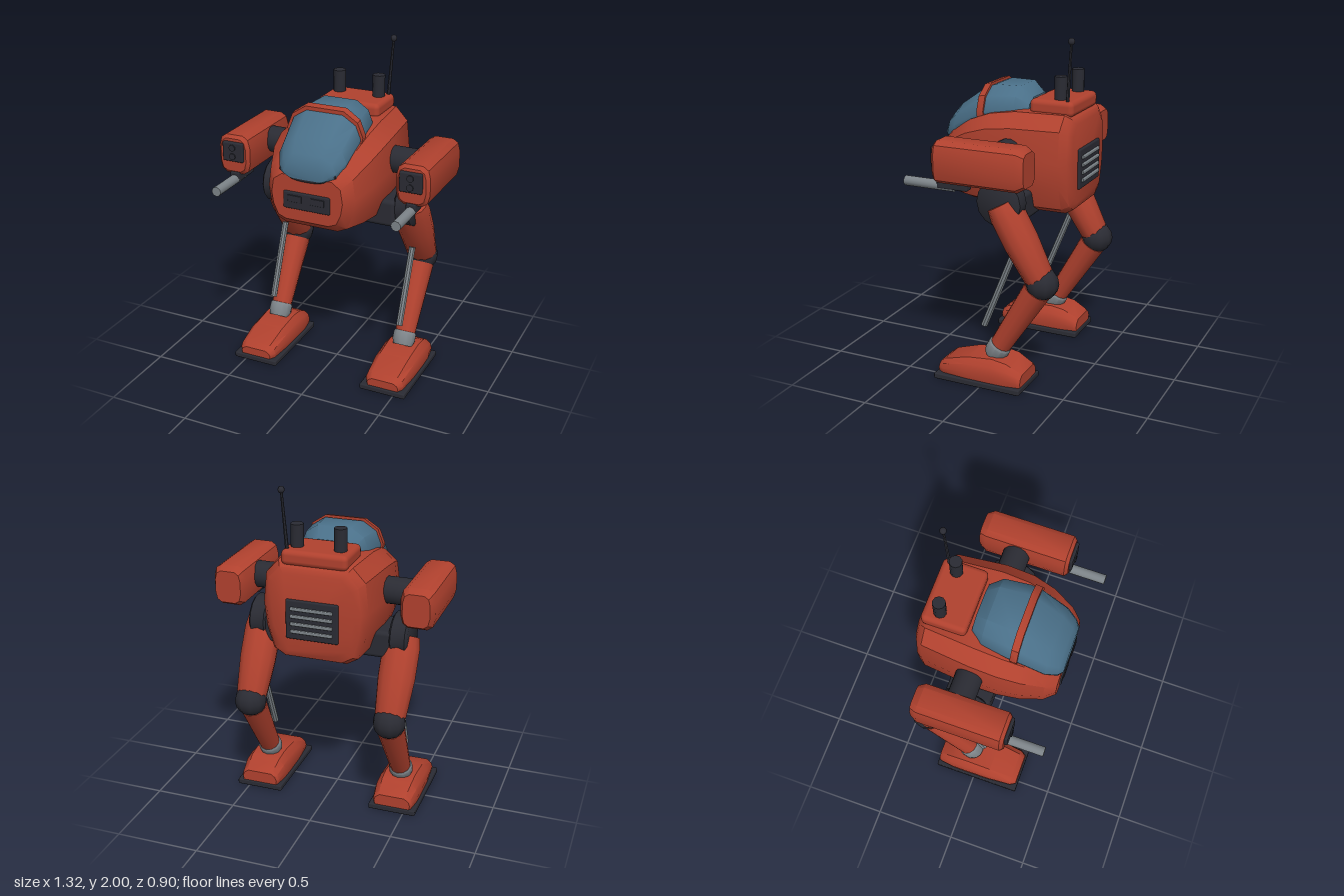
import * as THREE from 'three';
import { toCreasedNormals } from 'three/addons/utils/BufferGeometryUtils.js';
import { RoundedBoxGeometry } from 'three/addons/geometries/RoundedBoxGeometry.js';

const paint = (name, color) => {
  const m = new THREE.MeshStandardMaterial({ color });
  m.name = name;
  return m;
};
const V = (x, y, z) => new THREE.Vector3(x, y, z);

// Skins mirrored half-profiles [u, v] through sections [z, halfWidth, yBottom, yTop], front to back
function loft(profile, sections, crease = 0.6) {
  const ring = [...profile, ...profile.map(([u, v]) => [-u, v]).reverse()];
  const n = ring.length, pos = [], idx = [];
  for (const [z, w, y0, y1] of sections)
    for (const [u, v] of ring) pos.push(u * w, y0 + v * (y1 - y0), z);
  for (let i = 0; i < sections.length - 1; i++)
    for (let j = 0; j < n; j++) {
      const a = i * n + j, b = i * n + (j + 1) % n;
      idx.push(a, a + n, b, b, a + n, b + n);
    }
  const last = (sections.length - 1) * n;
  for (let j = 1; j < n - 1; j++) idx.push(0, j, j + 1, last, last + j + 1, last + j);
  const g = new THREE.BufferGeometry();
  g.setAttribute('position', new THREE.Float32BufferAttribute(pos, 3));
  g.setIndex(idx);
  return toCreasedNormals(g, crease);
}

export function createModel() {
  const armor = paint('rust red armor', 0xb0412e);
  const dark = paint('dark joints', 0x2a2b33);
  const glass = paint('blue canopy', 0x4a7089);
  const steel = paint('grey steel', 0x7c8388);

  const root = new THREE.Group();
  root.name = 'walker';
  const add = (parent, name, geo, mat, x = 0, y = 0, z = 0) => {
    const m = new THREE.Mesh(geo, mat);
    m.name = name;
    m.position.set(x, y, z);
    parent.add(m);
    return m;
  };
  const rbox = (w, h, d, r = 0.01) => new RoundedBoxGeometry(w, h, d, 2, r);
  const rodX = (r, len, seg) => new THREE.CylinderGeometry(r, r, len, seg).rotateZ(Math.PI / 2);
  const rodZ = (r, len, seg) => new THREE.CylinderGeometry(r, r, len, seg).rotateX(Math.PI / 2);

  // Turned limb from a to b; profile holds [radius, fraction along the limb]
  const limb = (parent, name, a, b, profile, mat, seg = 12) => {
    const len = a.distanceTo(b);
    const pts = [[0, profile[0][1]], ...profile, [0, profile.at(-1)[1]]]
      .map(([r, t]) => new THREE.Vector2(r, t * len));
    const m = add(parent, name, toCreasedNormals(new THREE.LatheGeometry(pts, seg), 0.7), mat, a.x, a.y, a.z);
    m.quaternion.setFromUnitVectors(V(0, 1, 0), b.clone().sub(a).normalize());
    return m;
  };

  // Hull
  const hullShape = [[0.6, 0], [0.82, 0.07], [0.95, 0.3], [1, 0.55], [0.94, 0.86], [0.7, 1]];
  add(root, 'hull', loft(hullShape, [
    [0.4, 0.22, 1.09, 1.36], [0.34, 0.27, 1.04, 1.42], [0.21, 0.32, 1.025, 1.5], [0.08, 0.342, 1.015, 1.55],
    [-0.08, 0.342, 1.005, 1.575], [-0.37, 0.31, 1.0, 1.575], [-0.41, 0.28, 1.02, 1.55], [-0.428, 0.24, 1.06, 1.52],
  ]), armor);

  // Canopy, its hoop and lower rim
  const canopyShape = [[0.68, 0], [0.95, 0.2], [1, 0.42], [0.86, 0.77], [0.5, 1]];
  add(root, 'canopy', loft(canopyShape, [
    [0.412, 0.14, 1.35, 1.445], [0.385, 0.175, 1.345, 1.49], [0.32, 0.208, 1.37, 1.56], [0.16, 0.224, 1.45, 1.672],
    [0.1, 0.224, 1.46, 1.692], [-0.05, 0.203, 1.48, 1.692], [-0.122, 0.155, 1.5, 1.63],
  ], 0.75), glass);
  add(root, 'canopyHoop', loft(canopyShape, [
    [0.166, 0.236, 1.45, 1.69], [0.125, 0.236, 1.45, 1.7],
  ]), armor);
  const rim = new THREE.CatmullRomCurve3([
    V(-0.17, 1.39, 0.375), V(-0.09, 1.355, 0.395), V(0, 1.347, 0.398), V(0.09, 1.355, 0.395), V(0.17, 1.39, 0.375)]);
  add(root, 'canopyRim', new THREE.TubeGeometry(rim, 16, 0.015, 6), dark);

  // Nose sensor plate
  add(root, 'nosePlate', rbox(0.29, 0.105, 0.03), dark, 0, 1.212, 0.395);
  for (const s of [-1, 1]) add(root, 'noseSlot', rbox(0.085, 0.04, 0.008, 0.003), dark, s * 0.07, 1.225, 0.411);

  // Rear vent with slats
  add(root, 'ventFrame', rbox(0.31, 0.235, 0.03), dark, 0, 1.255, -0.427);
  for (let i = 0; i < 4; i++)
    add(root, 'ventSlat', rbox(0.25, 0.02, 0.02, 0.005), steel, 0, 1.187 + i * 0.045, -0.443);

  // Roof deck, exhausts and antenna
  add(root, 'roofDeck', rbox(0.39, 0.09, 0.265, 0.03), armor, 0, 1.6, -0.275);
  for (const s of [-1, 1])
    add(root, 'exhaust', toCreasedNormals(new THREE.CylinderGeometry(0.037, 0.037, 0.17, 10), 0.7), dark, s * 0.127, 1.69, -0.31);
  limb(root, 'antenna', V(0.165, 1.62, -0.365), V(0.183, 1.98, -0.392), [[0.011, 0], [0.007, 1]], dark, 6);
  add(root, 'antennaTip', new THREE.SphereGeometry(0.02, 8, 6), dark, 0.183, 1.98, -0.392);

  // Pelvis bar
  add(root, 'pelvis', rbox(0.78, 0.165, 0.27, 0.025), dark, 0, 1.068, -0.075);

  // Arms with weapon pods
  const podShape = [[0.55, 0], [0.87, 0.09], [1, 0.3], [1, 0.7], [0.87, 0.91], [0.55, 1]];
  const podGeo = loft(podShape, [
    [0.235, 0.082, 1.245, 1.447], [0.215, 0.1, 1.226, 1.465], [-0.27, 0.1, 1.226, 1.465], [-0.312, 0.078, 1.25, 1.44]]);
  for (const s of [-1, 1]) {
    const arm = new THREE.Group();
    arm.name = s > 0 ? 'leftArm' : 'rightArm';
    root.add(arm);
    add(arm, 'shoulder', toCreasedNormals(rodX(0.08, 0.2, 14), 0.7), dark, s * 0.39, 1.36, -0.077);
    add(arm, 'weaponPod', podGeo, armor, s * 0.561, 0, 0);
    add(arm, 'podFace', rbox(0.135, 0.12, 0.03), dark, s * 0.557, 1.37, 0.238);
    for (const y of [1.343, 1.397])
      add(arm, 'launchTube', rodZ(0.02, 0.008, 12), dark, s * 0.557, y, 0.256);
    add(arm, 'barrelMount', rbox(0.06, 0.06, 0.19), dark, s * 0.557, 1.212, 0.145);
    add(arm, 'barrel', toCreasedNormals(rodZ(0.029, 0.31, 12), 0.7), steel, s * 0.557, 1.195, 0.295);
  }

  // Legs
  const footShape = [[0.95, 0], [1, 0.35], [0.92, 0.72], [0.68, 1]];
  const footGeo = loft(footShape, [
    [0.284, 0.1, 0.035, 0.085], [0.25, 0.122, 0.035, 0.11], [0.1, 0.135, 0.035, 0.155], [-0.06, 0.137, 0.035, 0.172],
    [-0.15, 0.135, 0.035, 0.158], [-0.23, 0.122, 0.035, 0.118], [-0.248, 0.112, 0.035, 0.105]]);
  for (const s of [-1, 1]) {
    const leg = new THREE.Group();
    leg.name = s > 0 ? 'leftLeg' : 'rightLeg';
    leg.position.x = s * 0.43;
    root.add(leg);
    const hip = V(0, 1.1, -0.085), knee = V(0, 0.655, -0.335), ankle = V(0, 0.19, -0.05);
    limb(leg, 'hipJoint', V(-0.055, hip.y, hip.z), V(0.055, hip.y, hip.z),
      [[0.118, 0], [0.135, 0.12], [0.135, 0.88], [0.118, 1]], dark, 14);
    const thigh = limb(leg, 'thigh', knee, hip,
      [[0.072, 0.02], [0.083, 0.09], [0.098, 0.5], [0.098, 0.85], [0.088, 0.98]], armor);
    thigh.scale.x = 1.13;
    add(leg, 'knee', new THREE.SphereGeometry(0.097, 10, 8), dark, 0, knee.y, knee.z);
    limb(leg, 'shin', ankle, knee, [[0.062, 0.05], [0.068, 0.3], [0.083, 0.9]], armor);
    limb(leg, 'ankle', ankle, knee, [[0.06, -0.06], [0.071, 0], [0.071, 0.08], [0.064, 0.1]], steel);
    limb(leg, 'piston', V(0, 0.335, 0.03), V(0, 0.78, -0.15), [[0.02, 0], [0.02, 1]], steel, 8);
    add(leg, 'foot', footGeo, armor);
    add(leg, 'sole', rbox(0.29, 0.035, 0.55, 0.008), dark, 0, 0.0175, 0.02);
  }
  return root;
}
